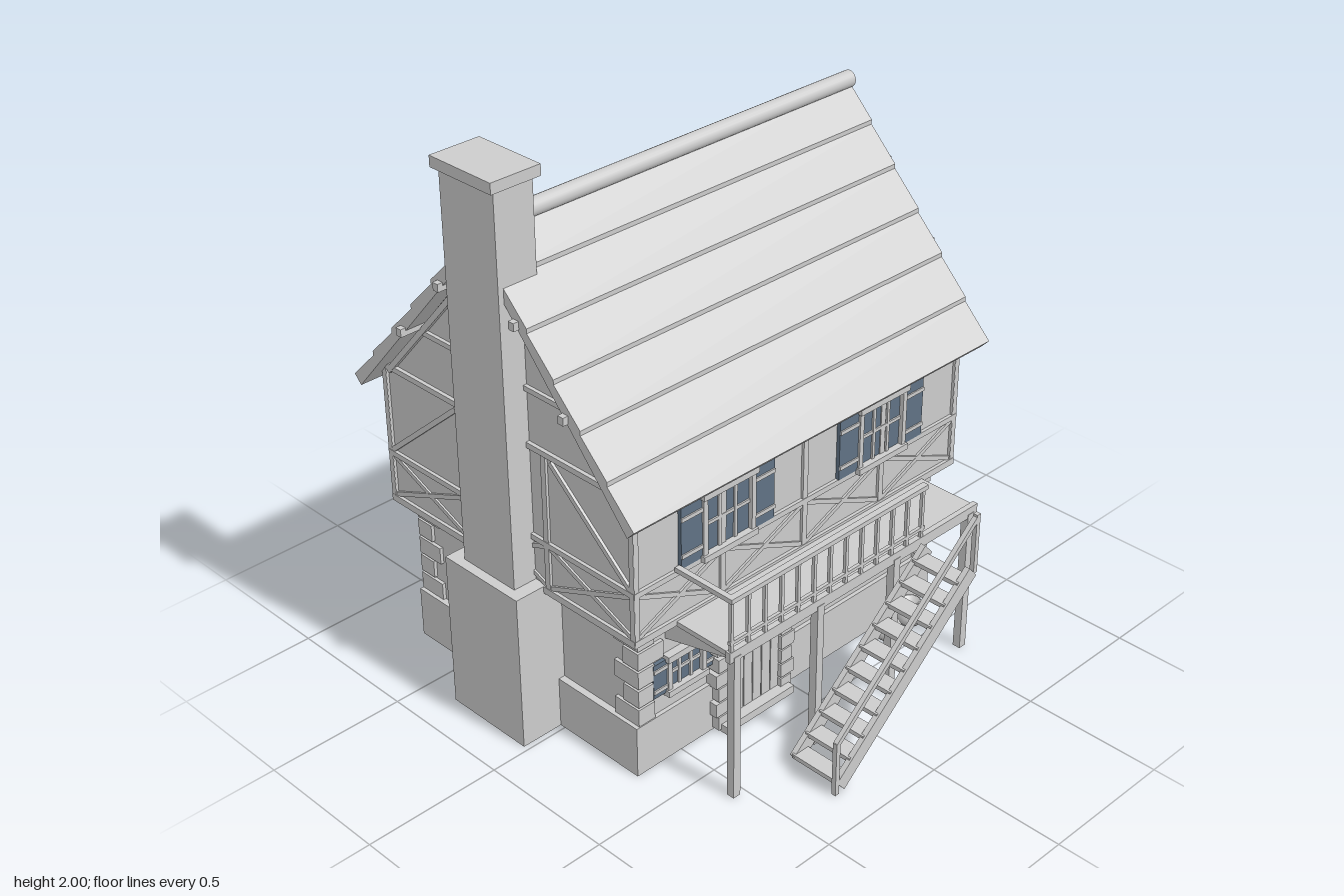
import * as THREE from 'three';

export function createModel() {
  const house = new THREE.Group();
  house.name = 'timberHouse';
  const stone = new THREE.MeshStandardMaterial({ color: 0xcccccc });
  stone.name = 'pale grey';
  const blue = new THREE.MeshStandardMaterial({ color: 0x607284 });
  blue.name = 'slate blue';

  const add = (parent, name, geo, mat = stone) => {
    const m = new THREE.Mesh(geo, mat);
    m.name = name;
    parent.add(m);
    return m;
  };
  // Box given by its limits on each axis
  const box = (parent, name, x0, x1, y0, y1, z0, z1, mat) => {
    const m = add(parent, name, new THREE.BoxGeometry(x1 - x0, y1 - y0, z1 - z0), mat);
    m.position.set((x0 + x1) / 2, (y0 + y1) / 2, (z0 + z1) / 2);
    return m;
  };
  // Timber between two points of an upright plane
  const strut = (parent, name, x0, y0, x1, y1, w, z0 = -0.01, z1 = 0.01, mat = stone) => {
    const m = add(parent, name, new THREE.BoxGeometry(Math.hypot(x1 - x0, y1 - y0), w, z1 - z0), mat);
    m.position.set((x0 + x1) / 2, (y0 + y1) / 2, (z0 + z1) / 2);
    m.rotation.z = Math.atan2(y1 - y0, x1 - x0);
    return m;
  };
  // Group lying on a wall: x along the wall, y up, z outwards
  const face = (name, angle, offset) => {
    const g = new THREE.Group();
    g.name = name;
    g.rotation.y = angle;
    g.position.set(Math.sin(angle) * offset, 0, Math.cos(angle) * offset);
    house.add(g);
    return g;
  };
  const polygon = pts => new THREE.Shape(pts.map(p => new THREE.Vector2(...p)));
  const extrude = (shape, depth) => new THREE.ExtrudeGeometry(shape, { depth, bevelEnabled: false, curveSegments: 10 });
  // Triangular bracket under an overhang
  const wedge = (g, name, x, top, depth, drop, w) => {
    const geo = extrude(polygon([[0, top], [0, top - drop], [depth, top - 0.015], [depth, top]]), w);
    geo.rotateY(-Math.PI / 2).translate(x + w / 2, 0, 0);
    add(g, name, geo);
  };
  // Framed window with a shutter on each side
  const shutteredWindow = (g, x, y0, y1, half, shutter) => {
    const w = new THREE.Group();
    w.name = 'window';
    w.position.x = x;
    g.add(w);
    const t = 0.018;
    box(w, 'glass', -half, half, y0, y1, 0, 0.006, blue);
    box(w, 'lintel', -half - 0.005, half + 0.005, y1 - 0.01, y1 + 0.014, 0, 0.03);
    box(w, 'sill', -half - 0.005, half + 0.005, y0 - 0.014, y0 + 0.008, 0, 0.03);
    const ym = (y0 + y1) / 2;
    box(w, 'crossbar', -half, half, ym - 0.006, ym + 0.006, 0, 0.012);
    for (const s of [-1, 1]) {
      const at = s * (half - t / 2);
      box(w, 'jamb', at - t / 2, at + t / 2, y0, y1, 0, 0.022);
      box(w, 'mullion', s * half * 0.3 - 0.006, s * half * 0.3 + 0.006, y0, y1, 0, 0.013);
      const c = s * (half + shutter / 2);
      box(w, 'shutter', c - shutter / 2, c + shutter / 2, y0, y1, 0, 0.014, blue);
      for (const f of [0.2, 0.8]) {
        const y = y0 + (y1 - y0) * f;
        box(w, 'shutterStrap', c - shutter / 2, c + shutter / 2, y - 0.007, y + 0.007, 0.014, 0.019);
      }
    }
  };

  // Stone ground floor and plinth
  box(house, 'plinth', -0.695, 0.73, 0, 0.19, -0.74, 0.35);
  box(house, 'groundFloor', -0.67, 0.705, 0.19, 0.56, -0.725, 0.335);
  for (const sx of [-1, 1]) for (const sz of [-1, 1]) for (let i = 0; i < 5; i++) {
    const a = i % 2 ? 0.11 : 0.07, b = i % 2 ? 0.07 : 0.11, y = 0.192 + i * 0.073;
    const cx = 0.0175 + sx * (0.7 - a / 2), cz = -0.195 + sz * (0.543 - b / 2);
    box(house, 'quoin', cx - a / 2, cx + a / 2, y, y + 0.064, cz - b / 2, cz + b / 2);
  }

  // Upper floor with gables
  const ridgeZ = -0.195, slope = 1.144, ridgeY = 1.785;
  const roofY = d => ridgeY - slope * Math.abs(d);
  const gable = extrude(polygon([[-0.39, 0.56], [0.78, 0.56], [0.78, 1.06], [0.195, 1.73], [-0.39, 1.06]]), 1.49);
  const upper = add(house, 'upperFloor', gable);
  upper.rotation.y = Math.PI / 2;
  upper.position.x = -0.73;

  // Roof of six overlapping courses
  const n = 6, run = 0.665, top = [];
  for (let i = 0; i < n; i++) {
    const a = run * (1 - i / n), b = run * (1 - (i + 1) / n);
    top.push([a, roofY(a) + 0.016], [b, roofY(b)]);
  }
  const under = [[0, ridgeY - 0.05], [run - 0.03, roofY(run - 0.03) - 0.05]];
  const flip = p => [-p[0], p[1]];
  const outline = [...top, ...top.slice(0, -1).reverse().map(flip), flip(under[1]), under[0], under[1]];
  const roof = add(house, 'roof', extrude(polygon(outline), 1.635));
  roof.rotation.y = Math.PI / 2;
  roof.position.set(-0.8, 0, ridgeZ);
  const ridge = add(house, 'ridgeRoll', new THREE.CylinderGeometry(0.03, 0.03, 1.64, 20));
  ridge.rotation.z = Math.PI / 2;
  ridge.position.set(0.02, 1.79, ridgeZ);
  for (const [d, y] of [[0, 1.73], [0.175, 1.545], [-0.175, 1.545], [0.38, 1.31], [-0.38, 1.31]])
    box(house, 'purlin', -0.82, 0.855, y - 0.014, y + 0.014, ridgeZ + d - 0.012, ridgeZ + d + 0.012);

  // Timber framing, one group per wall
  const frame = (g, u0, u1, bays) => {
    box(g, 'sillBeam', u0, u1, 0.555, 0.58, -0.01, 0.012);
    box(g, 'midRail', u0, u1, 0.738, 0.758, -0.01, 0.012);
    const step = (u1 - u0 - 0.02) / bays;
    for (let i = 0; i <= bays; i++) {
      const u = u0 + 0.01 + i * step;
      box(g, 'post', u - 0.011, u + 0.011, 0.56, 1.08, -0.01, 0.01);
      if (i === bays) break;
      strut(g, 'brace', u, 0.58, u + step, 0.74, 0.016, -0.01, 0.008);
      strut(g, 'brace', u, 0.74, u + step, 0.58, 0.016, -0.01, 0.007);
    }
  };
  const H = Math.PI / 2;
  const front = face('frontFraming', 0, 0.39), right = face('leftSideFraming', H, 0.76);
  const back = face('backFraming', 2 * H, 0.78), left = face('rightSideFraming', -H, 0.73);
  frame(front, -0.74, 0.77, 4);
  frame(right, -0.4, 0.79, 3);
  frame(back, -0.77, 0.74, 4);
  frame(left, -0.79, 0.4, 3);
  strut(back, 'endBrace', -0.76, 0.76, -0.41, 1.04, 0.018);
  strut(back, 'endBrace', 0.73, 0.76, 0.38, 1.04, 0.018);
  strut(left, 'endBrace', -0.77, 0.76, -0.42, 1.06, 0.018);
  strut(left, 'endBrace', 0.38, 0.76, 0.03, 1.06, 0.018);
  for (const [g, c] of [[right, 0.195], [left, -0.195]]) {
    box(g, 'tieBeam', c - 0.585, c + 0.585, 1.075, 1.095, -0.01, 0.014);
    box(g, 'collarBeam', c - 0.38, c + 0.38, 1.277, 1.295, -0.01, 0.013);
    box(g, 'upperCollar', c - 0.18, c + 0.18, 1.51, 1.528, -0.01, 0.013);
    for (const s of [-1, 1]) {
      box(g, 'gablePost', c + s * 0.108 - 0.01, c + s * 0.108 + 0.01, 1.1, 1.61, -0.01, 0.01);
      strut(g, 'rafter', c, ridgeY - 0.085, c + s * 0.56, roofY(0.56) - 0.075, 0.02, -0.01, 0.015);
    }
  }
  box(right, 'atticWindow', 0.12, 0.268, 1.305, 1.485, 0, 0.008, blue);

  // Windows
  const gFront = face('groundFrontDetails', 0, 0.335), gRight = face('groundLeftDetails', H, 0.705);
  const gBack = face('groundBackDetails', 2 * H, 0.725), gLeft = face('groundRightDetails', -H, 0.67);
  for (const x of [-0.34, 0.375]) shutteredWindow(front, x, 0.757, 0.98, 0.115, 0.09);
  for (const x of [-0.065, 0.45]) shutteredWindow(right, x, 0.757, 0.98, 0.1, 0.088);
  for (const x of [-0.475, 0.455]) shutteredWindow(gFront, x, 0.265, 0.395, 0.085, 0.058);
  for (const x of [-0.08, 0.465]) shutteredWindow(gRight, x, 0.265, 0.395, 0.085, 0.064);

  // Brackets below the overhang
  for (const g of [gFront, gBack])
    for (const u of [-0.66, -0.29, 0.015, 0.3, 0.68]) wedge(g, 'jettyBracket', g === gBack ? -u : u, 0.56, 0.055, 0.06, 0.035);
  for (const u of [-0.185, 0.17, 0.53]) {
    wedge(gRight, 'jettyBracket', u, 0.56, 0.055, 0.06, 0.035);
    wedge(gLeft, 'jettyBracket', -u, 0.56, 0.055, 0.06, 0.035);
  }

  // Chimney
  box(house, 'chimneyBase', -0.855, -0.66, 0, 0.58, -0.37, -0.02);
  box(house, 'chimneyStack', -0.82, -0.67, 0.58, 1.965, -0.315, -0.07);
  box(house, 'chimneyCap', -0.84, -0.65, 1.962, 2, -0.33, -0.055);

  // Arched plank door with stone surround
  const door = new THREE.Group();
  door.name = 'door';
  door.position.set(-0.185, 0, 0.335);
  house.add(door);
  for (let i = 0; i < 6; i++) {
    const x = -0.105 + i * 0.042;
    box(door, 'doorPlank', x - 0.019, x + 0.019, 0.02, 0.3 + Math.sqrt(0.0169 - x * x), 0, 0.03);
  }
  box(door, 'doorPanel', -0.12, 0.12, 0.02, 0.35, 0, 0.024);
  box(door, 'doorstep', -0.16, 0.16, 0, 0.03, 0, 0.07);
  for (let i = 0; i < 9; i++) {
    const a = (i + 0.5) / 9 * Math.PI, r = 0.152;
    const v = add(door, 'archStone', new THREE.BoxGeometry(i % 2 ? 0.064 : 0.052, 0.05, 0.045));
    v.position.set(Math.cos(a) * r, 0.305 + Math.sin(a) * r, 0.0225);
    v.rotation.z = a;
  }
  for (const s of [-1, 1]) for (let i = 0; i < 5; i++) {
    const w = i % 2 ? 0.062 : 0.05, c = s * (0.122 + w / 2), y = 0.01 + i * 0.058;
    box(door, 'jambStone', c - w / 2, c + w / 2, y, y + 0.052, 0, 0.045);
  }

  // Balcony
  box(house, 'balconyDeck', -0.565, 0.6, 0.552, 0.57, 0.38, 0.635);
  box(house, 'balconyEdgeBeam', -0.572, 0.608, 0.535, 0.575, 0.62, 0.64);
  for (const x of [-0.54, -0.165, 0.2, 0.575]) {
    box(house, 'balconyPost', x - 0.015, x + 0.015, 0, 0.55, 0.612, 0.642);
    wedge(gFront, 'balconyBracket', x, 0.55, 0.28, 0.085, 0.025);
  }
  box(house, 'balconyRail', -0.57, 0.335, 0.758, 0.775, 0.622, 0.645);
  box(house, 'balconyLowRail', -0.57, 0.335, 0.602, 0.614, 0.627, 0.639);
  for (let i = 0; i < 13; i++) {
    const x = -0.56 + i * 0.0735;
    box(house, 'baluster', x - 0.006, x + 0.006, 0.57, 0.76, 0.627, 0.639);
  }
  box(house, 'balconySideRail', -0.57, -0.55, 0.758, 0.775, 0.4, 0.645);

  // Stairs
  for (const z of [0.657, 0.842]) strut(house, 'stringer', -0.295, 0.025, 0.315, 0.55, 0.055, z, z + 0.02);
  for (let i = 0; i < 10; i++) {
    const x = -0.28 + i * 0.062, y = 0.045 + i * 0.0535;
    box(house, 'stairTread', x - 0.032, x + 0.032, y - 0.008, y + 0.008, 0.665, 0.855);
  }
  strut(house, 'handrail', -0.312, 0.2, 0.33, 0.755, 0.018, 0.845, 0.862);
  box(house, 'handrailPost', -0.32, -0.303, 0, 0.205, 0.845, 0.862);
  box(house, 'handrailPost', 0.318, 0.335, 0.54, 0.765, 0.845, 0.862);

  // Clay jars
  const jar = new THREE.LatheGeometry([[0, 0], [0.032, 0], [0.05, 0.02], [0.055, 0.042], [0.045, 0.064], [0.028, 0.074],
    [0.036, 0.088], [0.028, 0.09], [0.02, 0.075], [0, 0.07]].map(p => new THREE.Vector2(...p)), 20);
  for (const [x, s] of [[0.435, 0.97], [0.557, 1.03]]) {
    const j = add(house, 'jar', jar);
    j.position.set(x, 0, 0.418);
    j.scale.setScalar(s);
  }
  return house;
}
